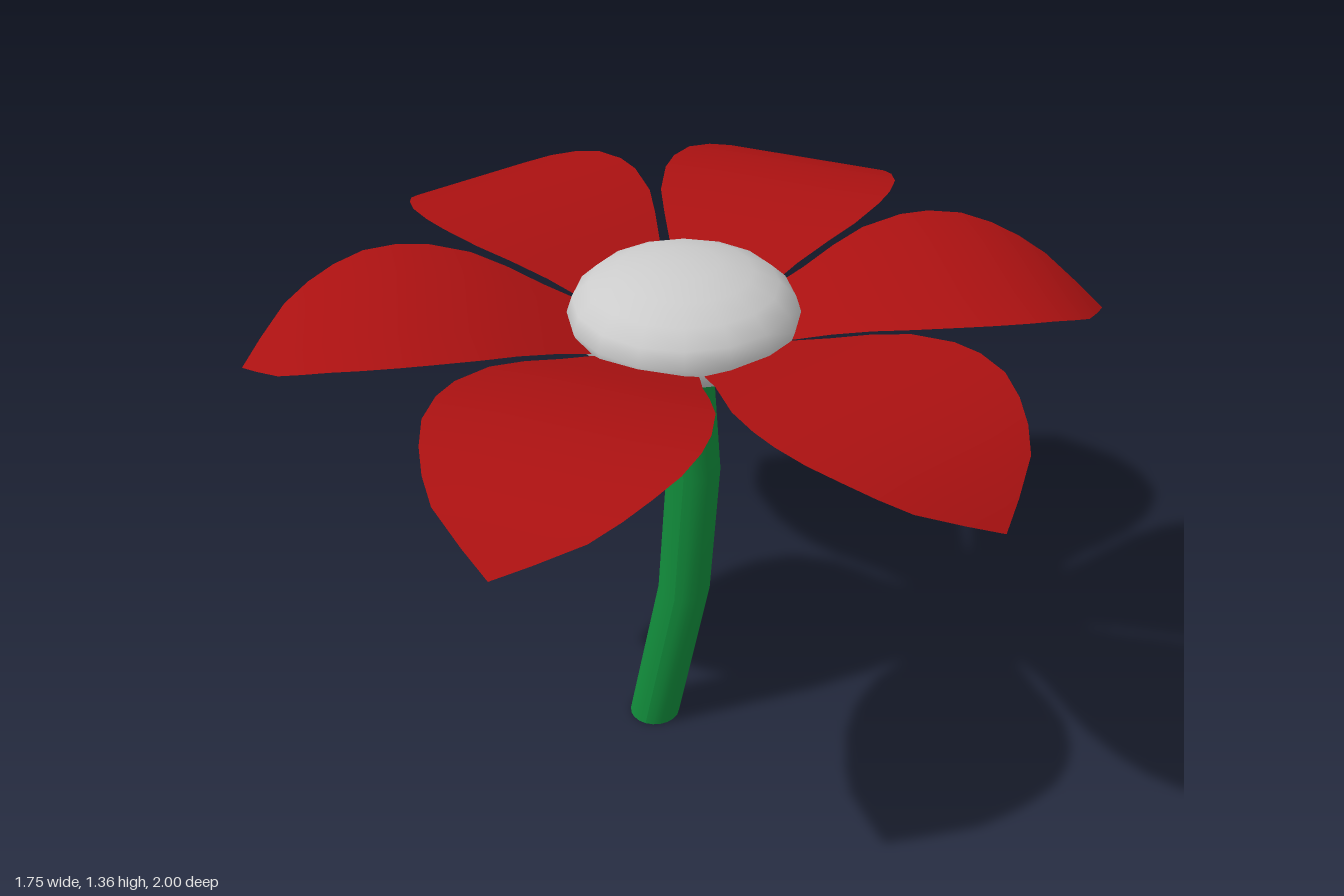
import * as THREE from 'three';

const RED = 0xaa1111, GREEN = 0x118a3a, GREY = 0xcccccc;

// Petal cross-sections from tip to root: distance from centre, height, half-width
const PETAL = [
  [1.0, 1.165, 0], [0.96, 1.195, 0.075], [0.905, 1.232, 0.165], [0.85, 1.259, 0.213],
  [0.79, 1.281, 0.25], [0.72, 1.297, 0.28], [0.64, 1.303, 0.29], [0.57, 1.301, 0.284],
  [0.47, 1.287, 0.255], [0.39, 1.266, 0.212], [0.31, 1.238, 0.165], [0.235, 1.212, 0.13],
  [0.17, 1.19, 0.09],
];

// Thin sheet, flat across and arched along its length, pointing to -z
function petalGeometry() {
  const cols = 4;
  const geo = new THREE.PlaneGeometry(2, 1, cols, PETAL.length - 1);
  const pos = geo.attributes.position;
  for (let i = 0; i < pos.count; i++) {
    const [out, height, half] = PETAL[Math.floor(i / (cols + 1))];
    pos.setXYZ(i, pos.getX(i) * half, height, -out);
  }
  geo.computeVertexNormals();
  return geo;
}

// Cylinder whose horizontal rings are shifted sideways to bend it
function stemGeometry() {
  const rings = [[0.0, 1.15], [0.025, 0.81], [0.0, 0.44], [-0.085, 0]]; // x, y from the top
  const geo = new THREE.CylinderGeometry(0.065, 0.065, 3, 20, 3);
  const pos = geo.attributes.position;
  for (let i = 0; i < pos.count; i++) {
    const [x, y] = rings[Math.round(1.5 - pos.getY(i))];
    pos.setX(i, pos.getX(i) + x);
    pos.setY(i, y);
  }
  geo.computeVertexNormals();
  return geo;
}

export function createModel() {
  const flower = new THREE.Group();
  flower.name = 'flower';

  const add = (name, geo, color, parent = flower) => {
    const material = new THREE.MeshStandardMaterial({ color });
    const mesh = new THREE.Mesh(geo, material);
    mesh.name = name;
    parent.add(mesh);
    return mesh;
  };

  add('stem', stemGeometry(), GREEN);

  // Flattened flower centre
  const centre = add('flowerCentre', new THREE.SphereGeometry(0.268, 16, 10), GREY);
  centre.scale.y = 0.13 / 0.268;
  centre.position.y = 1.23;

  // Ring of six petals, spaced slightly unevenly
  const petals = new THREE.Group();
  petals.name = 'petals';
  flower.add(petals);
  const geo = petalGeometry();
  [0, 60, 120.4, 180.7, 241.2, 300.2].forEach((deg, i) => {
    const petal = add(`petal${i + 1}`, geo, RED, petals);
    petal.material.side = THREE.DoubleSide;
    petal.rotation.y = THREE.MathUtils.degToRad(deg);
  });

  return flower;
}
